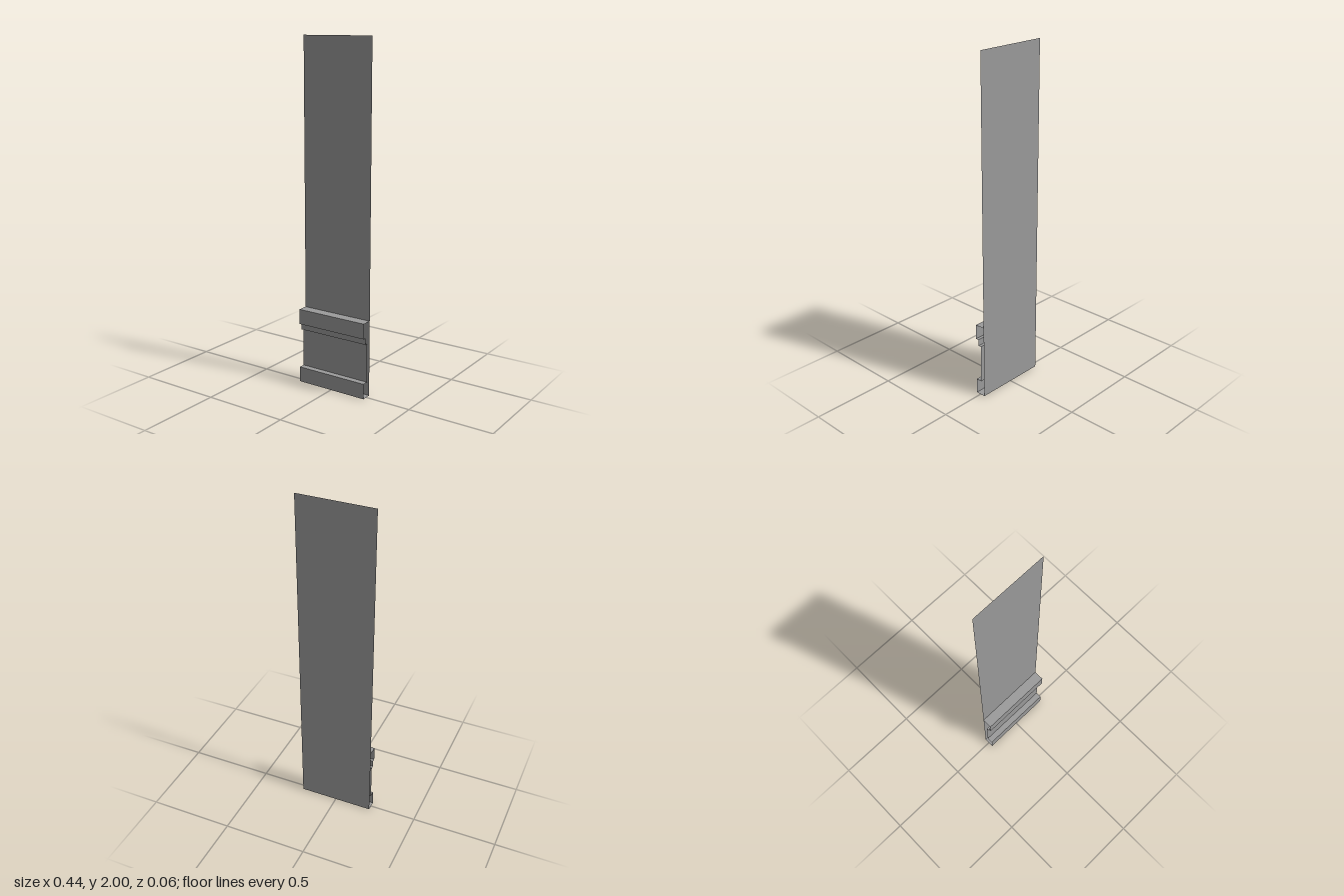
import * as THREE from 'three';

const HALF_WIDTH = 0.222;
const BACK = -0.03, FRONT = 0.03, STEP = 0.012, PANEL = -0.006;

// Open sheet: a [z, y] profile swept across the width, one flat strip per segment
function sweep(name, profile, material) {
  const w = HALF_WIDTH, positions = [];
  for (let i = 0; i < profile.length - 1; i++) {
    const [z0, y0] = profile[i], [z1, y1] = profile[i + 1];
    positions.push(-w, y0, z0, w, y0, z0, w, y1, z1);
    positions.push(-w, y0, z0, w, y1, z1, -w, y1, z1);
  }
  const geometry = new THREE.BufferGeometry();
  geometry.setAttribute('position', new THREE.Float32BufferAttribute(positions, 3));
  geometry.computeVertexNormals();
  const mesh = new THREE.Mesh(geometry, material);
  mesh.name = name;
  return mesh;
}

export function createModel() {
  const group = new THREE.Group();
  group.name = 'wallPanel';
  const material = new THREE.MeshStandardMaterial({
    color: 0x9b9b9b, flatShading: true, side: THREE.DoubleSide,
  });

  // Tall thin wall sheet
  group.add(sweep('wall', [[BACK, 2], [BACK, 0]], material));

  // Hollow skirting: base rail, recessed panel, small step and top rail
  group.add(sweep('skirting', [
    [BACK, 0], [FRONT, 0], [FRONT, 0.09], [PANEL, 0.09],
    [PANEL, 0.318], [STEP, 0.318], [STEP, 0.356],
    [FRONT, 0.356], [FRONT, 0.445], [BACK, 0.445],
  ], material));

  return group;
}
